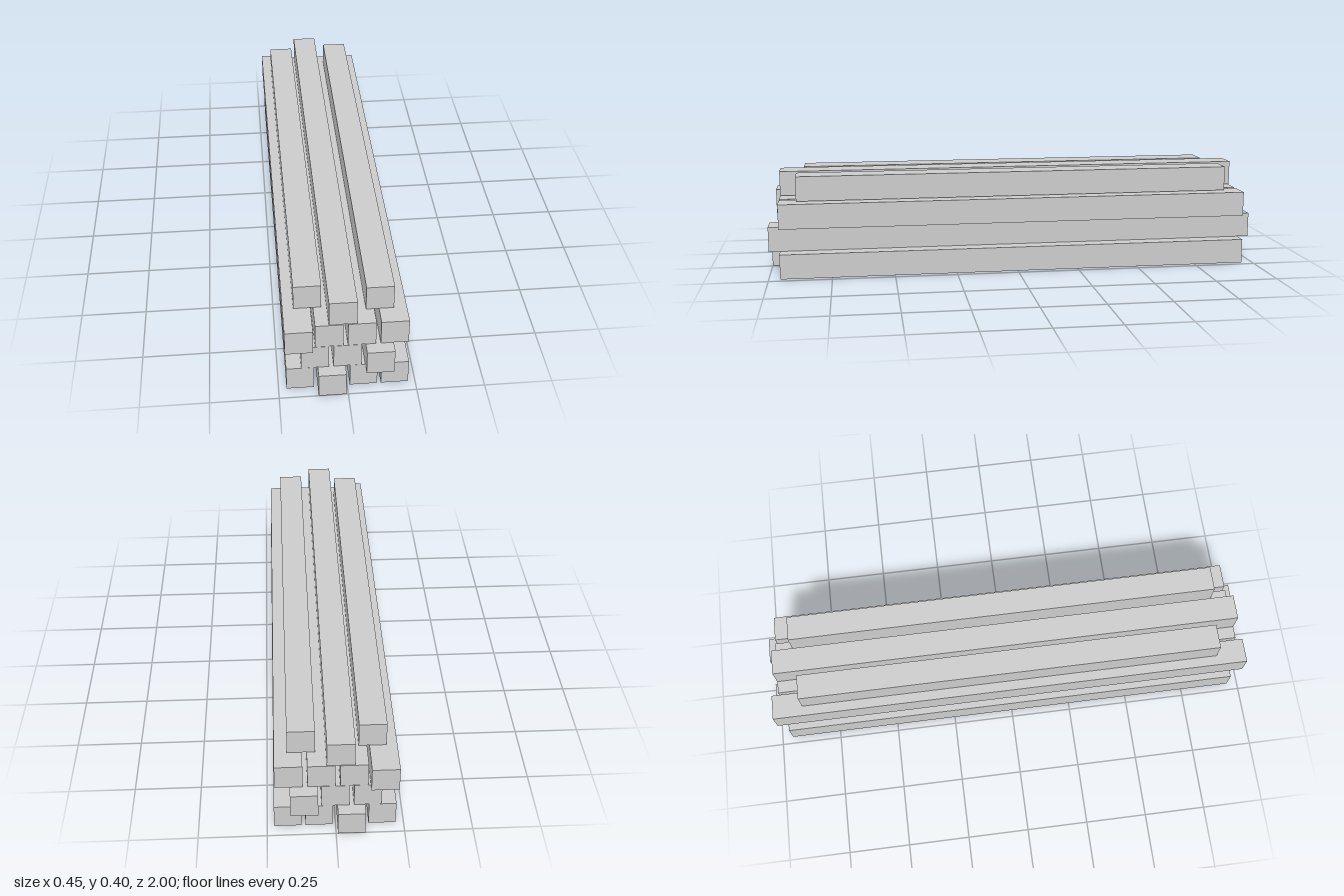
import * as THREE from 'three';

const WIDTH = 0.1;
const HEIGHT = 0.0995;

// Each layer: bottom height and its beams as [centre x, length]
const LAYERS = [
  { y: 0, open: true, beams: [[-0.171, 1.91], [-0.057, 2], [0.06, 1.91], [0.174, 1.91]] },
  { y: 0.1, beams: [[-0.1165, 1.91], [0.0005, 1.91], [0.1145, 2]] },
  { y: 0.2007, beams: [[-0.175, 1.965], [-0.066, 1.91], [0.051, 1.91], [0.168, 1.91]] },
  { y: 0.303, beams: [[-0.136, 1.72], [-0.0175, 1.91], [0.121, 1.77]] },
];

// Square beam lying along z; an open one has no underside
function beamGeometry(length, open) {
  const box = new THREE.BoxGeometry(WIDTH, HEIGHT, length);
  if (open) {
    const index = Array.from(box.index.array);
    index.splice(18, 6); // the downward face
    box.setIndex(index);
    box.clearGroups();
  }
  return box;
}

export function createModel() {
  const group = new THREE.Group();
  group.name = 'beamStack';
  const material = new THREE.MeshStandardMaterial({ color: 0xcccccc, side: THREE.DoubleSide });

  LAYERS.forEach(({ y, open, beams }, row) => {
    const layer = new THREE.Group();
    layer.name = `layer${row + 1}`;
    layer.position.y = y + HEIGHT / 2;
    beams.forEach(([x, length], i) => {
      const beam = new THREE.Mesh(beamGeometry(length, open), material);
      beam.name = `beam${i + 1}`;
      beam.position.x = x;
      layer.add(beam);
    });
    group.add(layer);
  });
  return group;
}
